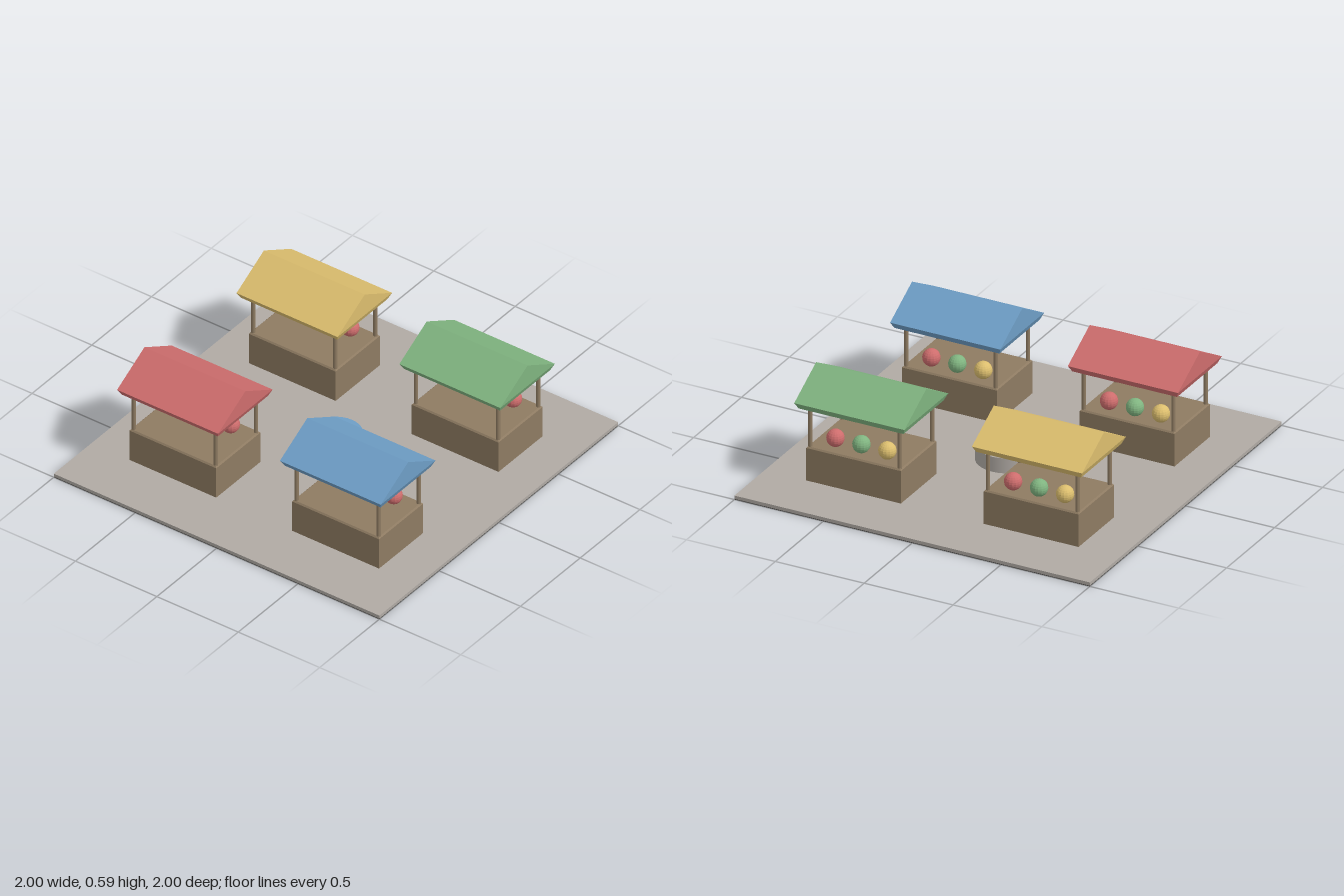
import * as THREE from 'three';

const mat = (name, color, flat = true) => {
  const m = new THREE.MeshStandardMaterial({ color, flatShading: flat });
  m.name = name;
  return m;
};

// Rectangular loft: rings of [half width x, half depth z, y], closed at both ends
function loft(rings) {
  const pos = [];
  const corners = rings.map(([x, z, y]) => [[x, y, z], [x, y, -z], [-x, y, -z], [-x, y, z]]);
  const quad = (a, b, c, d) => pos.push(...a, ...b, ...c, ...a, ...c, ...d);
  for (let i = 0; i + 1 < corners.length; i++) {
    for (let k = 0; k < 4; k++) {
      const n = (k + 1) % 4;
      quad(corners[i][k], corners[i][n], corners[i + 1][n], corners[i + 1][k]);
    }
  }
  const top = corners[corners.length - 1];
  if (rings[rings.length - 1][1] > 0) quad(...top);
  quad(...[...corners[0]].reverse());
  const g = new THREE.BufferGeometry();
  g.setAttribute('position', new THREE.Float32BufferAttribute(pos, 3));
  g.computeVertexNormals();
  return g;
}

export function createModel() {
  const root = new THREE.Group();
  root.name = 'marketSquare';

  const stone = mat('paving stone', 0xb0aaa4, false);
  const darkStone = mat('dark stone', 0x575552);
  const wood = mat('wood', 0x8e7b62);
  const postWood = mat('post wood', 0x8e7b62, false);
  const ceiling = mat('awning lining', 0x566156);
  const red = mat('red', 0xce6d6d);
  const blue = mat('blue', 0x6e9ec6);
  const green = mat('green', 0x80b480);
  const yellow = mat('yellow', 0xdcbe6e);

  const add = (parent, name, geometry, material, x = 0, y = 0, z = 0) => {
    const m = new THREE.Mesh(geometry, material);
    m.name = name;
    m.position.set(x, y, z);
    parent.add(m);
  };

  // Paved ground slab on a thin dark base
  add(root, 'plaza', new THREE.BoxGeometry(2, 0.018, 2), stone, 0, 0.013, 0);
  add(root, 'plazaBase', new THREE.BoxGeometry(2, 0.004, 2), darkStone, 0, 0.002, 0);

  // Round fountain basin and its water
  add(root, 'fountainBasin', new THREE.CylinderGeometry(0.164, 0.164, 0.084, 32), stone, 0, 0.063, 0);
  add(root, 'fountainWater', new THREE.CylinderGeometry(0.135, 0.135, 0.03, 32), blue, 0, 0.1, 0);

  // Shared stall geometries
  const counterGeo = loft([[0.267, 0.185, 0.02], [0.267, 0.185, 0.202], [0.26, 0.178, 0.21]]);
  const roofGeo = loft([[0.295, 0.21, 0.426], [0.31, 0.229, 0.46], [0.31, 0, 0.586]]);
  const ceilingGeo = new THREE.BoxGeometry(0.57, 0.004, 0.4);
  const postGeo = new THREE.CylinderGeometry(0.011, 0.011, 0.24, 16);
  const fruitGeo = new THREE.SphereGeometry(0.046, 16, 12);

  // Market stall: counter, four posts, lined gabled awning and three goods
  const stall = (name, x, z, awning) => {
    const g = new THREE.Group();
    g.name = name;
    g.position.set(x, 0, z);
    add(g, 'counter', counterGeo, wood);
    for (const sx of [-1, 1]) {
      for (const sz of [-1, 1]) add(g, 'post', postGeo, postWood, sx * 0.252, 0.315, sz * 0.168);
    }
    add(g, 'awning', roofGeo, awning);
    add(g, 'awningLining', ceilingGeo, ceiling, 0, 0.425, 0);
    [yellow, green, red].forEach((m, i) =>
      add(g, 'fruit', fruitGeo, m, (i - 1) * 0.146, 0.251, -0.102));
    root.add(g);
  };
  stall('redStall', -0.5, 0.5, red);
  stall('blueStall', 0.5, 0.5, blue);
  stall('yellowStall', -0.5, -0.5, yellow);
  stall('greenStall', 0.5, -0.5, green);

  return root;
}
